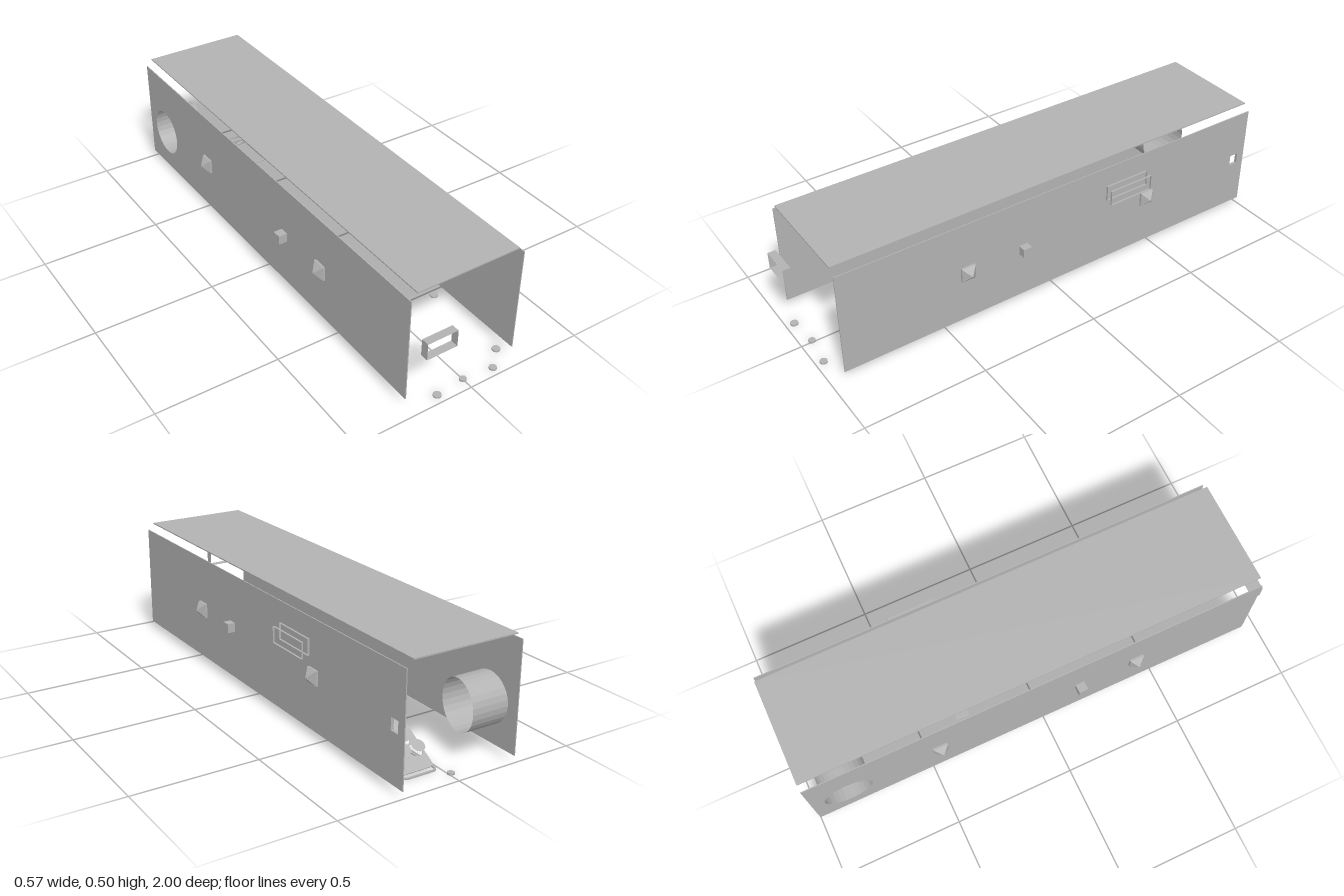
import * as THREE from 'three';

const grey = new THREE.MeshStandardMaterial({ color: 0xb2b2b2, flatShading: true, side: THREE.DoubleSide });
grey.name = 'plain grey';

function add(parent, name, geometry, x = 0, y = 0, z = 0) {
  const mesh = new THREE.Mesh(geometry, grey);
  mesh.name = name;
  mesh.position.set(x, y, z);
  parent.add(mesh);
  return mesh;
}

// Rectangle outline, optionally with rounded corners
function rect(w, h, r = 0, cx = 0, cy = 0, Type = THREE.Shape) {
  const s = new Type(), a = w / 2, b = h / 2;
  if (!r) {
    s.moveTo(cx - a, cy - b).lineTo(cx + a, cy - b).lineTo(cx + a, cy + b).lineTo(cx - a, cy + b).closePath();
    return s;
  }
  s.absarc(cx + a - r, cy - b + r, r, -Math.PI / 2, 0);
  s.absarc(cx + a - r, cy + b - r, r, 0, Math.PI / 2);
  s.absarc(cx - a + r, cy + b - r, r, Math.PI / 2, Math.PI);
  s.absarc(cx - a + r, cy - b + r, r, Math.PI, Math.PI * 1.5);
  s.closePath();
  return s;
}

const extrude = (shape, depth) =>
  new THREE.ExtrudeGeometry(shape, { depth, bevelEnabled: false, curveSegments: 16 });

// Open four-sided band of zero thickness, its axis along z
function sleeve(w, h, d) {
  const g = new THREE.BoxGeometry(w, h, d);
  g.setIndex(Array.from(g.index.array).slice(0, 24));
  g.clearGroups();
  return g;
}

export function createModel() {
  const model = new THREE.Group();
  model.name = 'corridor';

  // Roof slab and the two long side walls
  add(model, 'roof', new THREE.BoxGeometry(0.44, 0.005, 1.94), -0.005, 0.496, -0.03);
  const wall = (name, x, hole) => {
    const s = rect(1.94, 0.44, 0, -0.03, 0.25);
    s.holes.push(hole);
    add(model, name, extrude(s, 0.004).rotateY(-Math.PI / 2), x + 0.002);
  };
  const round = new THREE.Path();
  round.absarc(-0.85, 0.203, 0.1, 0, Math.PI * 2);
  wall('rightWall', -0.249, round);
  wall('leftWall', 0.24, rect(0.04, 0.048, 0, -0.945, 0.249, THREE.Path));

  // Round duct opening through the wall, with a slanted inner end
  const duct = new THREE.CylinderGeometry(0.101, 0.101, 0.145, 28, 1, true).rotateZ(Math.PI / 2);
  const p = duct.attributes.position;
  for (let i = 0; i < p.count; i++) if (p.getX(i) > 0) p.setX(i, p.getX(i) - 0.14 * p.getZ(i));
  duct.computeVertexNormals();
  add(model, 'duct', duct, -0.1765, 0.203, -0.85);

  // Pyramid studs and cubes on both outer walls
  for (const [side, face] of [[1, 0.241], [-1, -0.25]]) {
    for (const z of [0.405, -0.455]) {
      add(model, 'studBase', new THREE.BoxGeometry(0.009, 0.06, 0.06), face + side * 0.0045, 0.249, z);
      const pyramid = new THREE.ConeGeometry(0.0424, 0.028, 4, 1, true)
        .rotateY(Math.PI / 4).rotateZ(-side * Math.PI / 2);
      add(model, 'stud', pyramid, face + side * 0.023, 0.249, z);
    }
    add(model, 'wallCube', new THREE.BoxGeometry(0.037, 0.038, 0.038), side > 0 ? 0.256 : -0.269, 0.251, 0.153);
  }

  // Rectangular bands: hatch lining, paired outer bands, front band
  add(model, 'hatchLining', sleeve(0.04, 0.048, 0.009).rotateY(Math.PI / 2), 0.2345, 0.249, -0.945);
  add(model, 'innerBand', sleeve(0.2, 0.065, 0.008).rotateY(Math.PI / 2), 0.254, 0.358, -0.34);
  add(model, 'outerBand', sleeve(0.2, 0.065, 0.008).rotateY(Math.PI / 2), 0.281, 0.35, -0.34);
  add(model, 'frontBand', sleeve(0.13, 0.07, 0.033), -0.15, 0.275, 0.982);

  // Small floor discs: x, z, radius
  const discs = [
    [-0.13, 0.968, 0.016], [-0.003, 0.955, 0.014], [0.125, 0.97, 0.015], [0.2, 0.9, 0.016],
    [0.2, 0.53, 0.016], [-0.134, 0.53, 0.02], [-0.177, 0.7, 0.0135], [-0.018, 0.435, 0.013],
    [-0.005, -0.59, 0.014], [-0.004, -0.95, 0.014],
  ];
  for (const [x, z, r] of discs) {
    add(model, 'floorDisc', new THREE.CylinderGeometry(r, r, 0.007, 16), x, 0.009, z);
  }

  // Short canister and the flat square beside it
  add(model, 'canister', new THREE.CylinderGeometry(0.024, 0.024, 0.024, 16), -0.044, 0.023, -0.27);
  add(model, 'floorSquare', new THREE.PlaneGeometry(0.055, 0.055).rotateX(-Math.PI / 2), -0.08, 0.01, -0.305);

  // Floor hatch: ring frame, raised lid with four holes and floating discs
  const ring = rect(0.154, 0.225, 0.025);
  ring.holes.push(rect(0.138, 0.209, 0.018, 0, 0, THREE.Path));
  add(model, 'hatchFrame', extrude(ring, 0.006).rotateX(-Math.PI / 2), 0.087, 0.002, -0.79);

  const lid = new THREE.Group();
  lid.name = 'hatchLid';
  lid.position.set(0.086, 0.01, -0.88);
  lid.rotation.x = Math.PI / 3;
  model.add(lid);
  const plate = rect(0.146, 0.22, 0.02, 0, 0.11);
  for (const [x, y] of [[-0.041, 0.08], [0.02, 0.08], [-0.017, 0.134], [0.044, 0.134]]) {
    const hole = new THREE.Path();
    hole.absarc(x, y, 0.0265, 0, Math.PI * 2);
    plate.holes.push(hole);
    add(lid, 'lidDisc', new THREE.CircleGeometry(0.0265, 28), x, y, -0.03);
  }
  add(lid, 'lidPlate', extrude(plate, 0.003), 0, 0, -0.0015);

  return model;
}
